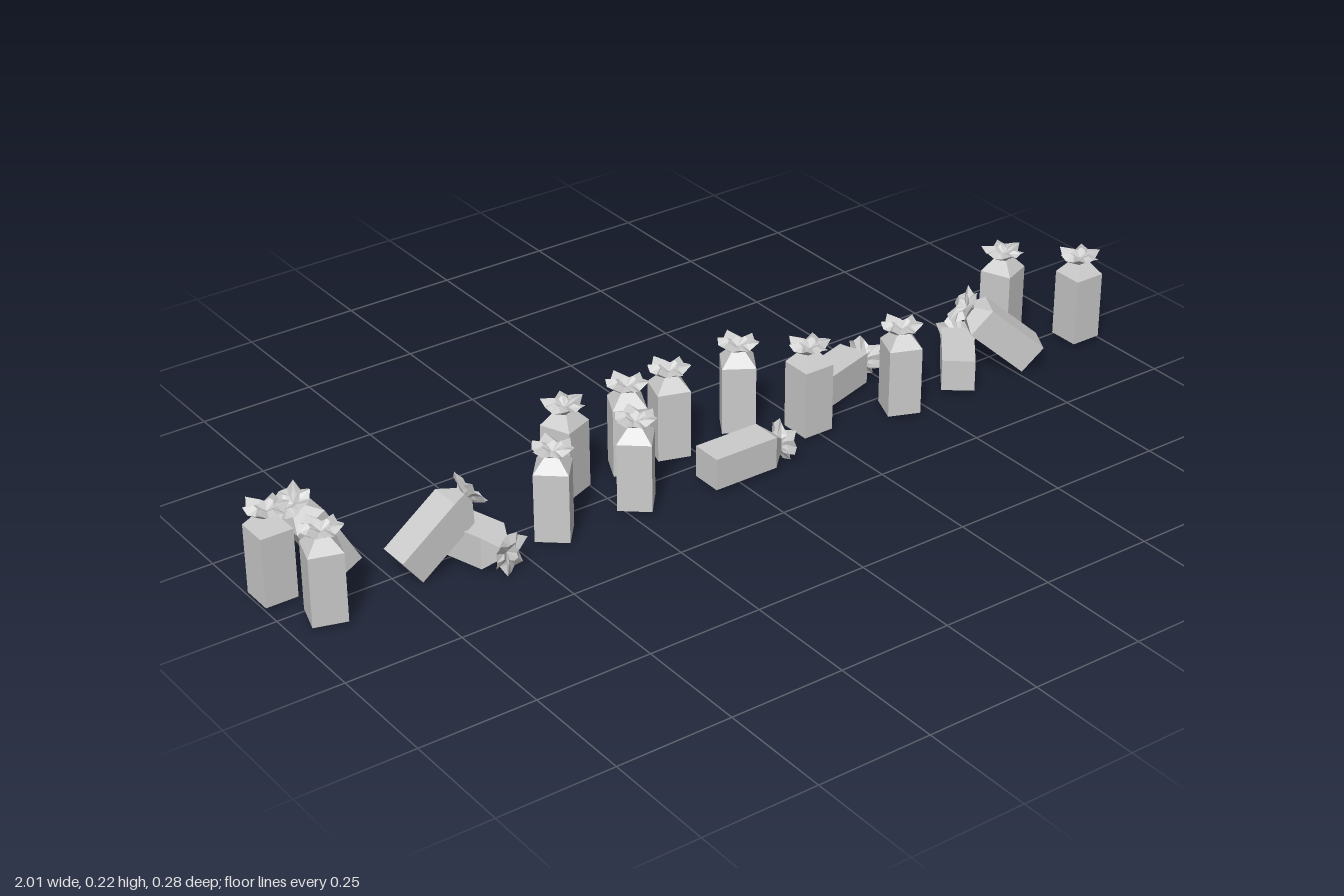
import * as THREE from 'three';

const SEGMENTS = 16;
const HALF = 0.035;

// Square outline for the body
function square(angle, half) {
  return half / Math.max(Math.abs(Math.cos(angle)), Math.abs(Math.sin(angle)));
}

// One tied bag standing on its base: square body, sloped shoulders, pinched neck, crumpled frill
function bagGeometry() {
  const crumple = i => Math.sin(i * 2.4) + 0.6 * Math.sin(i * 5.1 + 1);
  const rings = [
    () => [0, 0],                                                   // base centre
    (a) => [square(a, HALF), 0],                                    // base edge
    (a) => [square(a, HALF), 0.15],                                 // shoulder
    (a) => [square(a, 0.014), 0.178],                               // neck
    (a, i) => [0.026 + 0.004 * crumple(i + 3), 0.185 + 0.003 * crumple(i)],
    (a, i) => [0.041 + 0.006 * crumple(i), 0.193 + 0.006 * crumple(i + 5)], // frill edge
    (a, i) => [0.02 + 0.003 * crumple(i + 7), 0.196 + 0.003 * crumple(i + 2)],
    () => [0, 0.184],                                               // tied centre
  ];
  const positions = [];
  const indices = [];
  rings.forEach((ring, r) => {
    for (let i = 0; i < SEGMENTS; i++) {
      const a = (i / SEGMENTS) * Math.PI * 2;
      const [radius, y] = ring(a, i);
      positions.push(radius * Math.cos(a), y, radius * Math.sin(a));
      if (r === 0) continue;
      const next = (i + 1) % SEGMENTS;
      const low = (r - 1) * SEGMENTS;
      const high = r * SEGMENTS;
      if (r < rings.length - 1) indices.push(low + i, high + i, high + next);
      else indices.push(low + i, high + i, low + next);
      if (r > 1 && r < rings.length - 1) indices.push(low + i, high + next, low + next);
    }
  });
  const geometry = new THREE.BufferGeometry();
  geometry.setAttribute('position', new THREE.Float32BufferAttribute(positions, 3));
  geometry.setIndex(indices);
  const flat = geometry.toNonIndexed();
  flat.computeVertexNormals();
  return flat;
}

export function createModel() {
  const model = new THREE.Group();
  model.name = 'rowOfBags';
  const geometry = bagGeometry();
  const material = new THREE.MeshStandardMaterial({
    color: 0xcccccc, flatShading: true, side: THREE.DoubleSide,
  });

  // Base centre x, y, z, then heading and lean in degrees
  function addBag(name, x, y, z, heading, lean) {
    const bag = new THREE.Mesh(geometry, material);
    bag.name = name;
    bag.position.set(x, y, z);
    bag.rotation.set(0, THREE.MathUtils.degToRad(heading), THREE.MathUtils.degToRad(-lean), 'YZX');
    model.add(bag);
  }

  // Standing bags: x, z, heading
  [
    [-0.965, -0.075, 0], [-0.92, 0.047, -17], [-0.415, 0.057, -40], [-0.3, -0.073, 22],
    [-0.22, 0.057, -40], [-0.153, -0.068, -25], [-0.048, -0.07, -18], [0.127, -0.073, -32],
    [0.24, 0.02, 0], [0.445, 0.066, -22], [0.84, -0.07, 22], [0.96, 0.042, 0],
  ].forEach(([x, z, heading]) => addBag('standingBag', x, 0.015, z, heading, 0));

  // Bags lying on their side
  [
    [-0.612, -0.068, -73], [-0.065, 0.08, 0], [0.302, -0.045, 17], [0.588, 0.086, 51],
  ].forEach(([x, z, heading]) => addBag('lyingBag', x, 0.051, z, heading, 90));

  // Bags leaning on their neighbours
  addBag('leaningBag', -0.82, 0.032, -0.075, 180, 29);
  addBag('leaningBag', -0.73, 0.035, 0.012, 0, 53);
  addBag('leaningBag', 0.795, 0.037, 0.076, 152, 50);

  return model;
}
